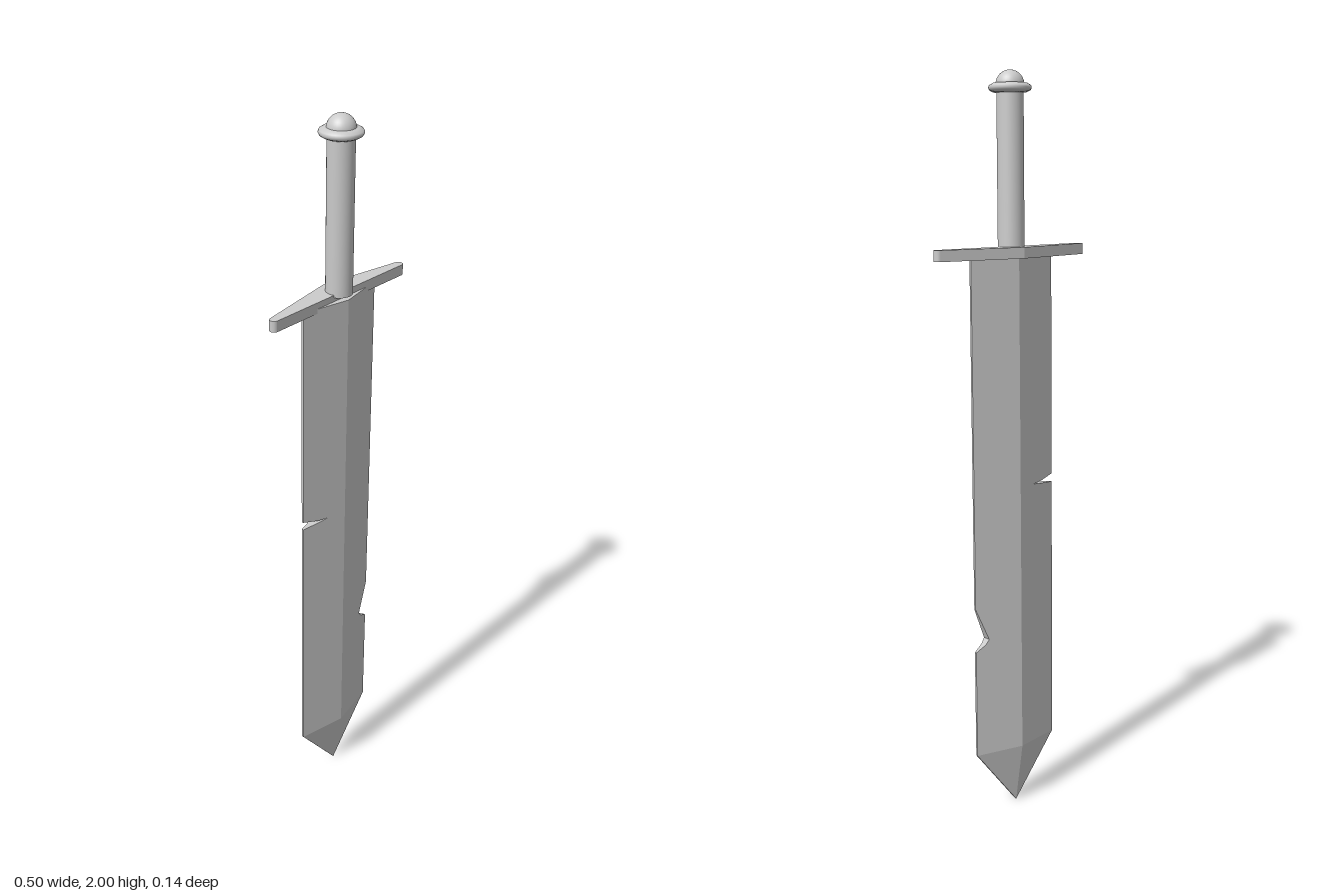
import * as THREE from 'three';

const material = new THREE.MeshStandardMaterial({ color: 0xcccccc, side: THREE.DoubleSide });

const HALF_WIDTH = 0.137, RIDGE = 0.032, EDGE = 0.003, SHOULDER = 0.17, BLADE_TOP = 1.535;

function addMesh(parent, name, geometry, y = 0) {
  const mesh = new THREE.Mesh(geometry, material);
  mesh.name = name;
  mesh.position.y = y;
  parent.add(mesh);
  return mesh;
}

// Extrudes one outline, then thins it from the central ridge to the cutting edges
function bladePiece(outline) {
  const shape = new THREE.Shape(outline.map(([x, y]) => new THREE.Vector2(x, y)));
  const geometry = new THREE.ExtrudeGeometry(shape, { depth: 1, bevelEnabled: false });
  const p = geometry.attributes.position;
  for (let i = 0; i < p.count; i++) {
    const taper = Math.min(1, p.getY(i) / SHOULDER) - Math.abs(p.getX(i)) / HALF_WIDTH;
    const half = EDGE + (RIDGE - EDGE) * Math.max(0, taper);
    p.setZ(i, p.getZ(i) > 0.5 ? half : -half);
  }
  geometry.computeVertexNormals();
  return geometry;
}

export function createModel() {
  const model = new THREE.Group();
  model.name = 'sword';

  // Whole sword leans slightly and is turned a little about its length
  const sword = new THREE.Group();
  sword.name = 'leaningSword';
  sword.position.set(0.025, 0.003, -0.043);
  const axis = new THREE.Vector3(-0.034, 2, 0.057).normalize();
  sword.quaternion.setFromUnitVectors(new THREE.Vector3(0, 1, 0), axis);
  sword.rotateY(-0.08);
  model.add(sword);

  // Blade halves, each with its own chip in the edge
  const blade = new THREE.Group();
  blade.name = 'blade';
  sword.add(blade);
  const chips = {
    '-1': [[0.137, 0.903], [0.09, 0.907], [0.054, 0.911], [0.09, 0.914], [0.137, 0.926]],
    '1': [[0.137, 0.468], [0.108, 0.486], [0.098, 0.5], [0.137, 0.59]],
  };
  for (const side of [-1, 1]) {
    const half = [[0, SHOULDER], [HALF_WIDTH, SHOULDER], ...chips[side],
      [HALF_WIDTH, BLADE_TOP], [0, BLADE_TOP]];
    const point = [[0, 0], [HALF_WIDTH, SHOULDER], [0, SHOULDER]];
    const mirrored = (pts) => pts.map(([x, y]) => [x * side, y]);
    const label = side > 0 ? 'Left' : 'Right';
    addMesh(blade, 'bladeHalf' + label, bladePiece(mirrored(half)));
    addMesh(blade, 'bladePoint' + label, bladePiece(mirrored(point)));
  }

  // Diamond crossguard with rounded ends
  const r = 0.012, cx = 0.238, lean = 0.17;
  const outline = new THREE.Shape();
  outline.moveTo(0, -0.053);
  outline.absarc(cx, 0, r, -Math.PI / 2 + lean, Math.PI / 2 - lean, false);
  outline.lineTo(0, 0.053);
  outline.absarc(-cx, 0, r, Math.PI / 2 + lean, Math.PI * 1.5 - lean, false);
  outline.closePath();
  const guard = new THREE.ExtrudeGeometry(outline, { depth: 0.029, bevelEnabled: false, curveSegments: 12 });
  guard.rotateX(-Math.PI / 2);
  addMesh(sword, 'crossguard', guard, 1.523);

  // Grip
  addMesh(sword, 'grip', new THREE.CylinderGeometry(0.035, 0.035, 0.41, 32), 1.75);

  // Pommel collar and ball
  const collar = [[0.03, 1.94], [0.044, 1.942], [0.053, 1.947], [0.056, 1.953],
    [0.054, 1.959], [0.044, 1.965], [0.03, 1.966]];
  addMesh(sword, 'pommelCollar',
    new THREE.LatheGeometry(collar.map(([x, y]) => new THREE.Vector2(x, y)), 40));
  addMesh(sword, 'pommelBall', new THREE.SphereGeometry(0.037, 32, 20), 1.961);

  return model;
}
